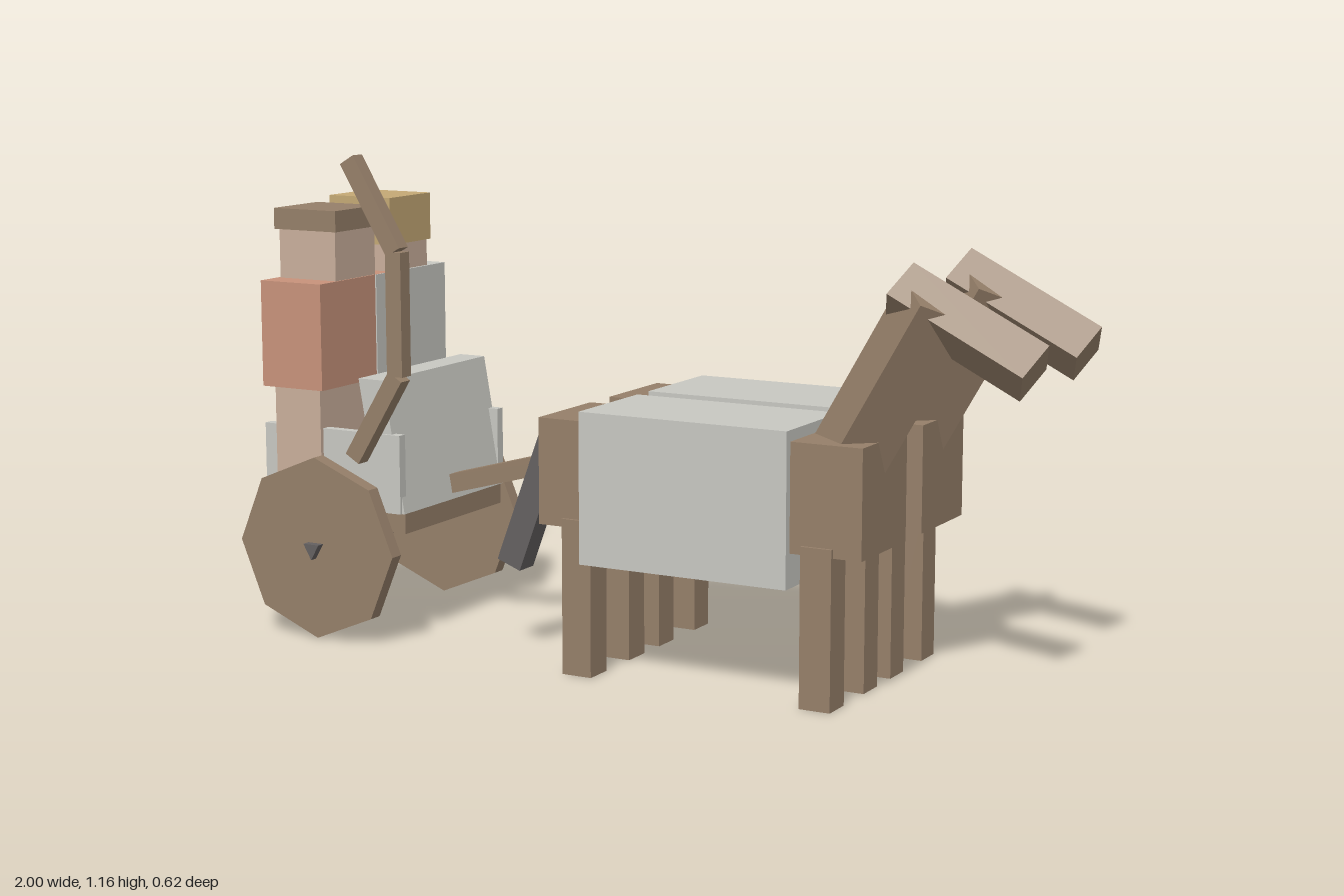
import * as THREE from 'three';

const mat = (name, color) => {
  const m = new THREE.MeshStandardMaterial({ color });
  m.name = name;
  return m;
};

export function createModel() {
  const brown = mat('brown', 0x957f69), grey = mat('pale grey', 0xc7c7c1), dark = mat('dark grey', 0x646060);
  const skin = mat('skin', 0xc9af9b), orange = mat('terracotta', 0xc7927a), gold = mat('gold', 0xc4a875);
  const model = new THREE.Group();
  model.name = 'chariot';

  // box given by its minimum and maximum on each axis
  const box = (parent, name, m, x0, x1, y0, y1, z0, z1) => {
    const mesh = new THREE.Mesh(new THREE.BoxGeometry(x1 - x0, y1 - y0, z1 - z0), m);
    mesh.position.set((x0 + x1) / 2, (y0 + y1) / 2, (z0 + z1) / 2);
    mesh.name = name;
    parent.add(mesh);
    return mesh;
  };

  // square bar between two points in the x-y plane; diamond turns its section by 45 degrees
  const bar = (parent, name, m, [ax, ay], [bx, by], z, thick, depth, diamond = false) => {
    const g = new THREE.BoxGeometry(thick, Math.hypot(bx - ax, by - ay), depth);
    if (diamond) g.rotateY(Math.PI / 4);
    const mesh = new THREE.Mesh(g, m);
    mesh.position.set((ax + bx) / 2, (ay + by) / 2, z);
    mesh.rotation.z = Math.atan2(by - ay, bx - ax) - Math.PI / 2;
    mesh.name = name;
    parent.add(mesh);
    return mesh;
  };

  // two horses side by side
  for (const z of [0.16, -0.16]) {
    const horse = new THREE.Group();
    horse.name = 'horse';
    horse.position.z = z;
    model.add(horse);
    box(horse, 'body', brown, -0.17, 0.63, 0.34, 0.585, -0.116, 0.116);
    box(horse, 'blanket', grey, -0.055, 0.46, 0.262, 0.61, -0.134, 0.134);
    for (const x of [-0.069, 0.526]) for (const s of [-0.088, 0.088])
      box(horse, 'leg', brown, x - 0.037, x + 0.037, 0, 0.36, s - 0.036, s + 0.036);
    bar(horse, 'neck', brown, [0.53, 0.52], [0.745, 0.893], 0, 0.128, 0.128, true);
    bar(horse, 'head', brown, [0.658, 0.91], [0.965, 0.754], 0, 0.097, 0.097, true);
    bar(horse, 'tail', dark, [-0.184, 0.553], [-0.313, 0.21], -0.01, 0.064, 0.06);
  }

  // cart body
  const cart = new THREE.Group();
  cart.name = 'cart';
  model.add(cart);
  box(cart, 'floor', brown, -1, -0.58, 0.26, 0.315, -0.21, 0.21);
  for (const s of [-1, 1])
    box(cart, 'sidePanel', grey, -0.97, -0.582, 0.31, 0.498, s * 0.215 - 0.012, s * 0.215 + 0.012);
  const slope = new THREE.Shape([[-0.7, 0.625], [-0.645, 0.31], [-0.575, 0.31], [-0.63, 0.625]]
    .map(([x, y]) => new THREE.Vector2(x, y)));
  const front = new THREE.Mesh(new THREE.ExtrudeGeometry(slope, { depth: 0.44, bevelEnabled: false }), grey);
  front.position.z = -0.22;
  front.name = 'frontPanel';
  cart.add(front);
  bar(cart, 'pole', brown, [-0.6, 0.342], [0.147, 0.545], -0.01, 0.046, 0.043);

  // eight-sided wheels on a three-sided axle
  const roller = (name, m, r, len, sides, z, turn) => {
    const g = new THREE.CylinderGeometry(r, r, len, sides).toNonIndexed();
    g.rotateX(Math.PI / 2);
    g.rotateZ(turn);
    g.computeVertexNormals();
    const mesh = new THREE.Mesh(g, m);
    mesh.position.set(-0.783, 0.22, z);
    mesh.name = name;
    cart.add(mesh);
  };
  for (const z of [-0.274, 0.272]) roller('wheel', brown, 0.219, 0.036, 8, z, 0);
  roller('axle', dark, 0.025, 0.62, 3, 0, 0);

  // two riders
  const rider = (name, z, coat, hair, hairBase, hairTop, reach) => {
    const g = new THREE.Group();
    g.name = name;
    g.position.z = z;
    model.add(g);
    box(g, 'legs', skin, -0.93, -0.8, 0.31, 0.6, -0.122, 0.122);
    box(g, 'torso', coat, -0.945 - reach, -0.773 + reach, 0.595, 0.848, -0.15, 0.15);
    box(g, 'head', skin, -0.938, -0.777, 0.84, 0.99, -0.081, 0.081);
    box(g, 'hair', hair, -0.948, -0.77, hairBase, hairTop, -0.088, 0.088);
  };
  rider('archer', 0.115, orange, brown, 0.965, 1.015, 0);
  rider('driver', -0.11, grey, gold, 0.913, 1.028, 0.003);

  // bow made of three straight limbs
  const bow = new THREE.Group();
  bow.name = 'bow';
  model.add(bow);
  const pts = [[-0.677, 0.445], [-0.553, 0.648], [-0.553, 0.937], [-0.677, 1.145]];
  for (let i = 0; i < 3; i++) bar(bow, 'bowLimb', brown, pts[i], pts[i + 1], 0.266, 0.042, 0.037);

  return model;
}
